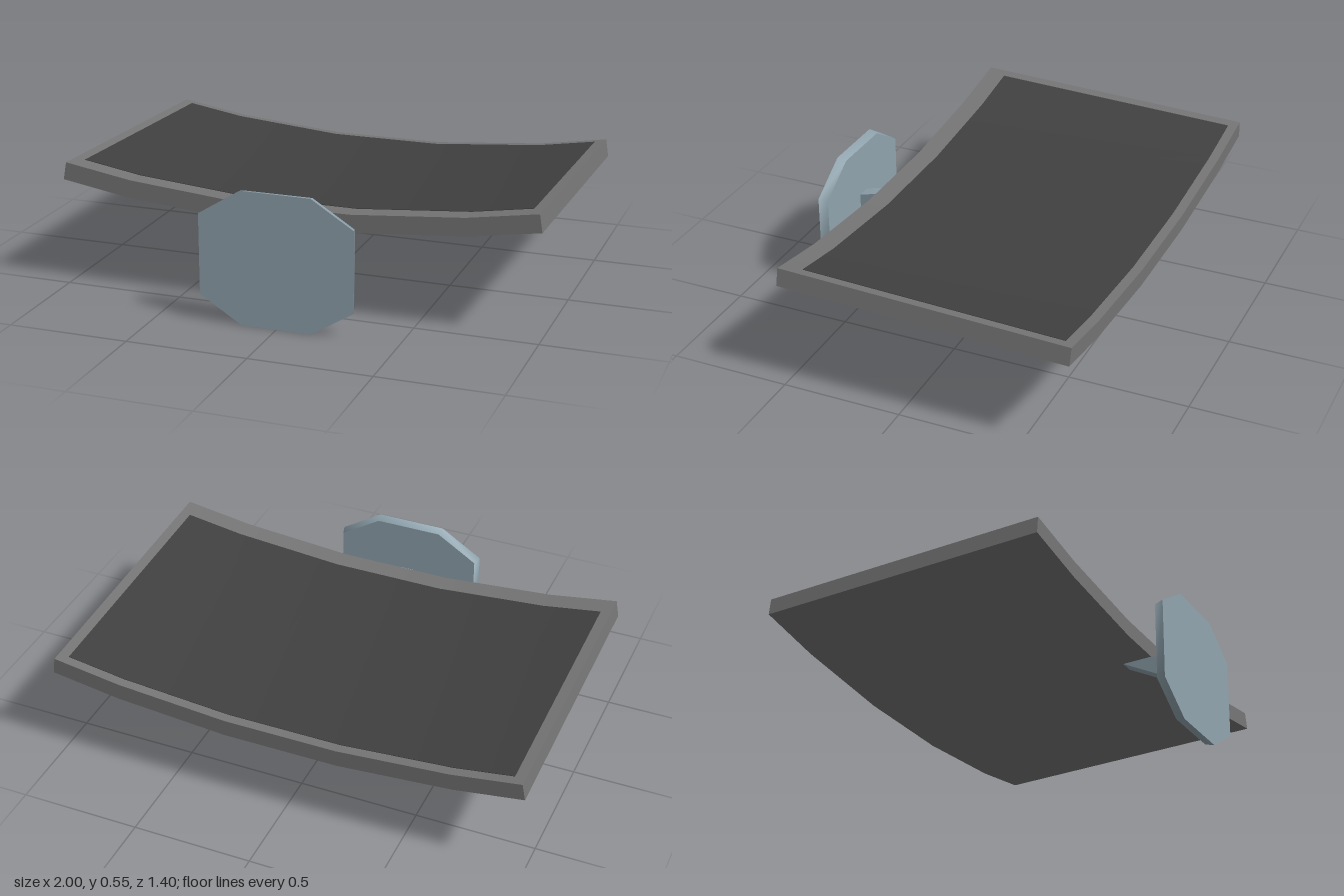
import * as THREE from 'three';
import { toCreasedNormals } from 'three/addons/utils/BufferGeometryUtils.js';

const casingGrey = new THREE.MeshStandardMaterial({ color: 0x757575 });
const screenGrey = new THREE.MeshStandardMaterial({ color: 0x404040 });
const steelBlue = new THREE.MeshStandardMaterial({ color: 0x90a4ae });

function addMesh(parent, name, geometry, material, crease = 0.6) {
  const mesh = new THREE.Mesh(toCreasedNormals(geometry, crease), material);
  mesh.name = name;
  parent.add(mesh);
  return mesh;
}

// Curved slab: the bent panel section between two offsets, run along z
function curvedSlab(halfWidth, low, high, z0, length) {
  const endY = 0.04 + (halfWidth - 0.71) * 0.162;
  // x, y and slope of the normal at each bend, from centre to edge
  const half = [[0.24, 0, 0.042], [0.71, 0.04, 0.125], [halfWidth, endY, 0.17]];
  const bends = [
    ...half.map(([x, y, s]) => [-x, y, -s]).reverse(),
    ...half,
  ];
  const offset = (d) => bends.map(([x, y, s]) => {
    const k = d / Math.hypot(1, s);
    return new THREE.Vector2(x - s * k, y + k);
  });
  const shape = new THREE.Shape([...offset(low), ...offset(high).reverse()]);
  const geometry = new THREE.ExtrudeGeometry(shape, { depth: length, bevelEnabled: false });
  return geometry.translate(0, 0, z0);
}

export function createModel() {
  const model = new THREE.Group();
  model.name = 'curvedMonitor';

  // Display panel, lying face up and tilted slightly
  const panel = new THREE.Group();
  panel.name = 'panel';
  panel.position.set(0, 0.325, -0.695);
  panel.rotation.x = -0.034;
  model.add(panel);
  addMesh(panel, 'casing', curvedSlab(1, 0, 0.074, 0, 1.206), casingGrey);
  addMesh(panel, 'screen', curvedSlab(0.957, 0.073, 0.076, 0.04, 1.08), screenGrey);

  // Octagonal foot plate, slightly smaller at the back
  const outline = [
    [0.145, -0.277], [0.32, -0.167], [0.32, 0.167], [0.145, 0.277],
    [-0.145, 0.277], [-0.32, 0.167], [-0.32, -0.167], [-0.145, -0.277],
  ].map(([x, y]) => new THREE.Vector2(x, y));
  const plate = new THREE.ExtrudeGeometry(new THREE.Shape(outline), { depth: 0.038, bevelEnabled: false });
  const p = plate.attributes.position;
  for (let i = 0; i < p.count; i++) {
    if (p.getZ(i) < 0.01) p.setXY(i, p.getX(i) * 0.966, p.getY(i) * 0.966);
  }
  addMesh(model, 'standFoot', plate, steelBlue, 1.2).position.set(0, 0.277, 0.661);

  // Tapered arm from the foot into the panel; drawn in (-z, y), run along x
  const arm = new THREE.Shape([
    [-0.67, 0.212], [-0.37, 0.369], [-0.37, 0.38], [-0.5, 0.37], [-0.67, 0.327],
  ].map(([z, y]) => new THREE.Vector2(z, y)));
  const armGeometry = new THREE.ExtrudeGeometry(arm, { depth: 0.06, bevelEnabled: false });
  armGeometry.translate(0, 0, -0.03).rotateY(Math.PI / 2);
  addMesh(model, 'standArm', armGeometry, steelBlue, 0.2);

  return model;
}
